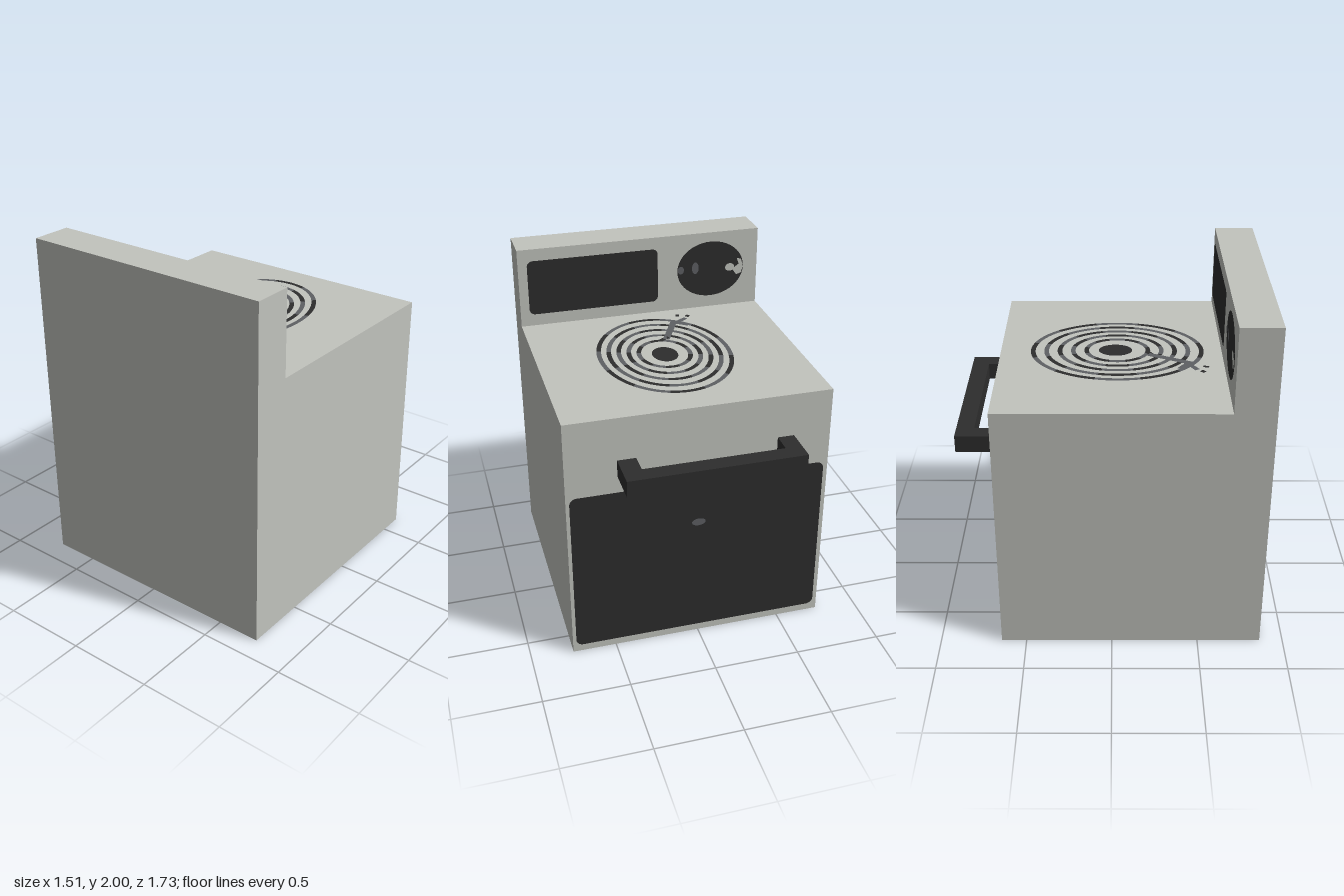
import * as THREE from 'three';

const mat = (name, color) => {
  const m = new THREE.MeshStandardMaterial({ color });
  m.name = name;
  return m;
};

// Closed outline from a short list of points
const outline = (pts) => new THREE.Shape(pts.map(([x, y]) => new THREE.Vector2(x, y)));

function roundedRect(x0, y0, x1, y1, r) {
  const s = new THREE.Shape();
  s.absarc(x1 - r, y1 - r, r, 0, Math.PI / 2);
  s.absarc(x0 + r, y1 - r, r, Math.PI / 2, Math.PI);
  s.absarc(x0 + r, y0 + r, r, Math.PI, Math.PI * 1.5);
  s.absarc(x1 - r, y0 + r, r, Math.PI * 1.5, Math.PI * 2);
  s.closePath();
  return s;
}

function ellipse(x, y, rx, ry) {
  const s = new THREE.Shape();
  s.absellipse(x, y, rx, ry, 0, Math.PI * 2);
  return s;
}

export function createModel() {
  const enamel = mat('enamel', 0xc2c4be);
  const black = mat('black', 0x2d2d2d);
  const grey = mat('grey', 0x5e6064);

  const model = new THREE.Group();
  model.name = 'stove';
  const add = (parent, name, geometry, material) => {
    const mesh = new THREE.Mesh(geometry, material);
    mesh.name = name;
    parent.add(mesh);
    return mesh;
  };

  // Cabinet with raised control panel: one L-shaped side profile (z, y)
  const body = new THREE.ExtrudeGeometry(
    outline([[-0.645, 0], [0.865, 0], [0.865, 2], [0.635, 2], [0.635, 1.512], [-0.645, 1.512]]),
    { depth: 1.51, bevelEnabled: false });
  body.rotateY(-Math.PI / 2).translate(0.755, 0, 0);
  add(model, 'cabinet', body, enamel);

  // U-shaped door handle, plan profile (x, z)
  const handle = new THREE.ExtrudeGeometry(
    outline([[-0.54, -0.865], [0.465, -0.865], [0.465, -0.645], [0.36, -0.645],
      [0.36, -0.765], [-0.445, -0.765], [-0.445, -0.645], [-0.54, -0.645]]),
    { depth: 0.1, bevelEnabled: false });
  handle.rotateX(Math.PI / 2).translate(0, 1.255, 0);
  add(model, 'doorHandle', handle, black);

  // Flat plates on faces that look towards -z; the group turn mirrors x
  const face = (name, z) => {
    const g = new THREE.Group();
    g.name = name;
    g.position.z = z;
    g.rotation.y = Math.PI;
    model.add(g);
    return (part, shape, material, lift) => {
      add(g, part, new THREE.ShapeGeometry(shape, 24), material).position.z = lift;
    };
  };

  // Oven door
  const door = face('ovenDoor', -0.645);
  door('doorGlass', roundedRect(-0.735, 0.045, 0.73, 1.055, 0.04), black, 0.003);
  door('doorLamp', ellipse(-0.005, 0.78, 0.04, 0.023), grey, 0.006);

  // Control panel
  const panel = face('controlPanel', 0.635);
  panel('display', roundedRect(-0.7, 1.585, 0.108, 1.927, 0.035), black, 0.003);
  panel('dial', ellipse(0.449, 1.764, 0.215, 0.178), black, 0.003);
  panel('dialMark', ellipse(0.35, 1.778, 0.022, 0.038), grey, 0.006);
  panel('dialLeftNotch', ellipse(0.256, 1.772, 0.02, 0.025), grey, 0.006);
  panel('dialPointer', ellipse(0.575, 1.764, 0.03, 0.025), enamel, 0.006);
  panel('dialRightNotch', outline([[0.59, 1.75], [0.62, 1.71], [0.65, 1.72], [0.663, 1.764],
    [0.65, 1.81], [0.62, 1.82], [0.635, 1.78]]), enamel, 0.006);

  // Hob: local x, y map to x, -z on the worktop
  const hob = new THREE.Group();
  hob.name = 'hob';
  hob.position.set(0.015, 1.512, 0.03);
  hob.rotation.x = -Math.PI / 2;
  model.add(hob);

  // Oval coils in alternating arcs
  const arcs = 12;
  for (let i = 0; i < 5; i++) {
    const rx = 0.148 + i * 0.0573, ry = 0.178 + i * 0.0773, half = 0.0135;
    for (let k = 0; k < arcs; k++) {
      const a0 = ((k - 0.5 + (i % 2)) / arcs) * Math.PI * 2;
      const a1 = a0 + (Math.PI * 2) / arcs;
      const s = new THREE.Shape();
      s.absellipse(0, 0, rx + half, ry + half, a0, a1, false);
      s.absellipse(0, 0, rx - half, ry - half, a1, a0, true);
      s.closePath();
      add(hob, 'coilArc', new THREE.ShapeGeometry(s, 8), k % 2 ? black : grey).position.z = 0.003;
    }
  }
  add(hob, 'hobCentre', new THREE.ShapeGeometry(ellipse(0, 0.01, 0.075, 0.097), 24), black)
    .position.z = 0.003;

  // Coil lead running out to the front corner, with a forked end
  const strip = (name, x0, y0, x1, y1, w, material) => {
    const dx = x1 - x0, dy = y1 - y0, l = Math.hypot(dx, dy);
    const nx = (-dy / l) * w / 2, ny = (dx / l) * w / 2;
    const s = outline([[x0 - nx, y0 - ny], [x1 - nx, y1 - ny], [x1 + nx, y1 + ny], [x0 + nx, y0 + ny]]);
    add(hob, name, new THREE.ShapeGeometry(s), material).position.z = 0.005;
  };
  strip('coilLead', -0.06, -0.18, -0.18, -0.43, 0.04, grey);
  strip('leadTip', -0.02, -0.17, -0.08, -0.21, 0.03, black);
  strip('leadFork', -0.17, -0.41, -0.25, -0.35, 0.035, grey);
  strip('leadFork', -0.18, -0.4, -0.26, -0.45, 0.03, grey);
  strip('leadEnd', -0.27, -0.47, -0.29, -0.49, 0.025, black);
  strip('leadEnd', -0.215, -0.485, -0.225, -0.515, 0.02, black);

  return model;
}
